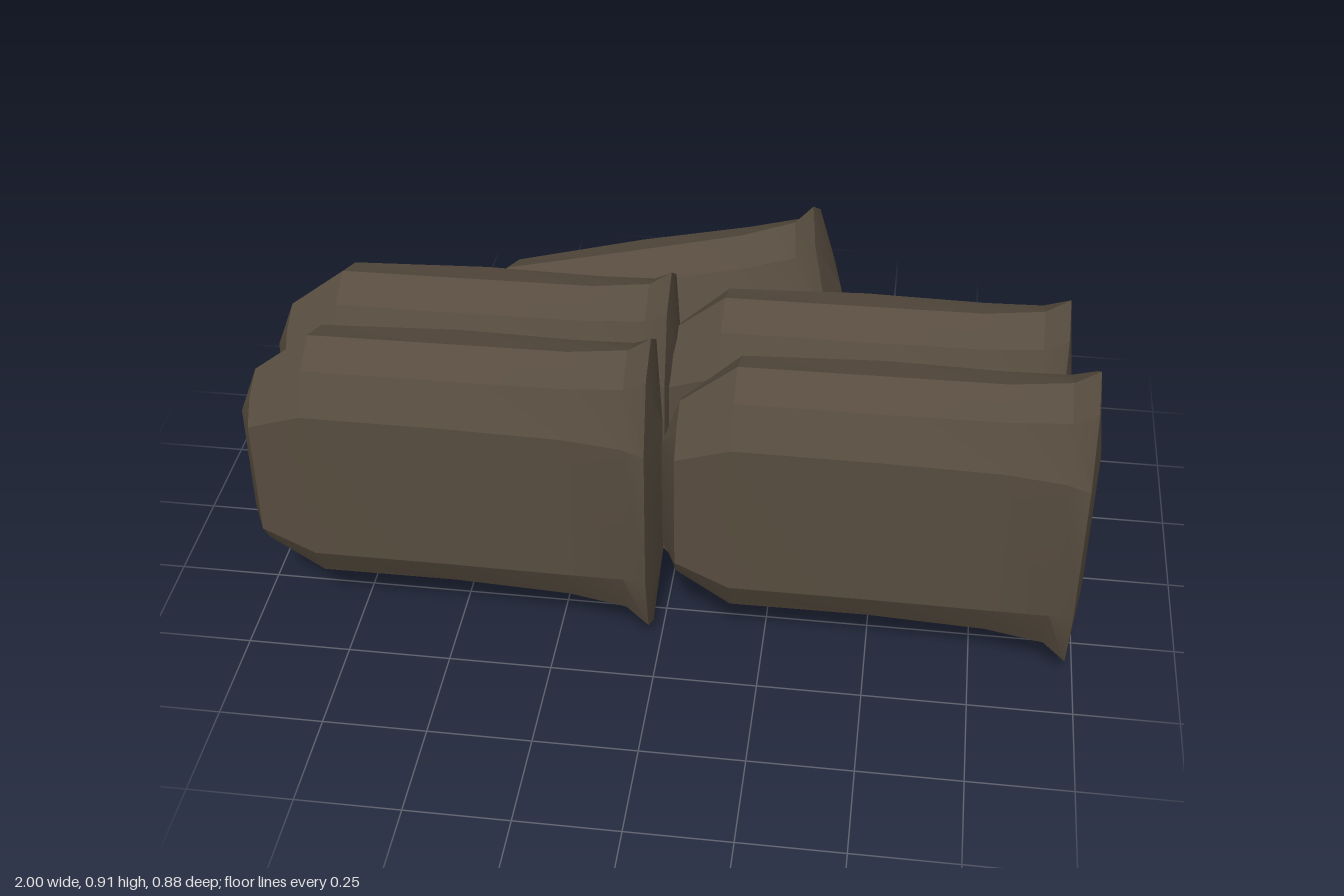
import * as THREE from 'three';
import { toCreasedNormals } from 'three/addons/utils/BufferGeometryUtils.js';

// Cross-sections along the sack, closed end first:
// x, height above axis, depth below axis, z back, z ridge, z front, shoulder fraction, side fraction
const SECTIONS = [
  [0, 0.145, 0.14, 0.02, 0.02, 0.02, 1, 1],
  [0.04, 0.255, 0.235, -0.11, 0, 0.1, 0.85, 0.62],
  [0.17, 0.348, 0.327, -0.185, -0.02, 0.115, 0.88, 0.6],
  [0.5, 0.348, 0.327, -0.215, -0.025, 0.115, 0.88, 0.6],
  [0.78, 0.358, 0.335, -0.19, -0.015, 0.12, 0.88, 0.58],
  [0.92, 0.378, 0.365, -0.17, -0.01, 0.125, 0.87, 0.52],
  [0.975, 0.4215, 0.4215, -0.135, 0, 0.135, 0.86, 0.44],
  [1, 0.19, 0.19, 0, 0, 0, 1, 1],
];

// Ten-sided ring, running from the top over the front and back round
function ring([x, up, down, back, ridge, front, shoulder, side]) {
  const f = THREE.MathUtils.lerp(ridge, front, 0.64);
  const b = THREE.MathUtils.lerp(ridge, back, 0.64);
  return [
    [up, ridge], [up * shoulder, f], [up * side, front],
    [-down * side, front], [-down * shoulder, f], [-down, ridge],
    [-down * shoulder, b], [-down * side, back],
    [up * side, back], [up * shoulder, b],
  ].map(([y, z]) => new THREE.Vector3(x, y, z));
}

function sackGeometry() {
  const rings = SECTIONS.map(ring);
  const positions = [];
  const addTriangle = (a, b, c) => {
    // the end caps close onto a line, so empty triangles are skipped
    if (new THREE.Triangle(a, b, c).getArea() < 1e-6) return;
    for (const p of [a, b, c]) positions.push(p.x, p.y, p.z);
  };
  for (let i = 0; i < rings.length - 1; i++) {
    for (let j = 0; j < 10; j++) {
      const k = (j + 1) % 10;
      addTriangle(rings[i][j], rings[i][k], rings[i + 1][k]);
      addTriangle(rings[i][j], rings[i + 1][k], rings[i + 1][j]);
    }
  }
  const geometry = new THREE.BufferGeometry();
  geometry.setAttribute('position', new THREE.Float32BufferAttribute(positions, 3));
  return toCreasedNormals(geometry, 0.3);
}

export function createModel() {
  const group = new THREE.Group();
  group.name = 'sackPile';
  const cloth = new THREE.MeshStandardMaterial({ color: 0x574c3f });
  cloth.name = 'brown sackcloth';
  const geometry = sackGeometry();

  // Two rows of two sacks, and one tilted sack leaning at the back
  const sacks = [
    ['frontRightSack', -1, 0.4265, 0.31, 0],
    ['frontLeftSack', 0, 0.4265, 0.31, 0],
    ['middleRightSack', -0.99, 0.4265, 0.03, 0],
    ['middleLeftSack', -0.06, 0.4265, 0.03, 0],
    ['leaningBackSack', -0.561, 0.275, -0.225, 0.222],
  ];
  for (const [name, x, y, z, tilt] of sacks) {
    const sack = new THREE.Mesh(geometry, cloth);
    sack.name = name;
    sack.position.set(x, y, z);
    sack.rotation.z = tilt;
    group.add(sack);
  }
  return group;
}
